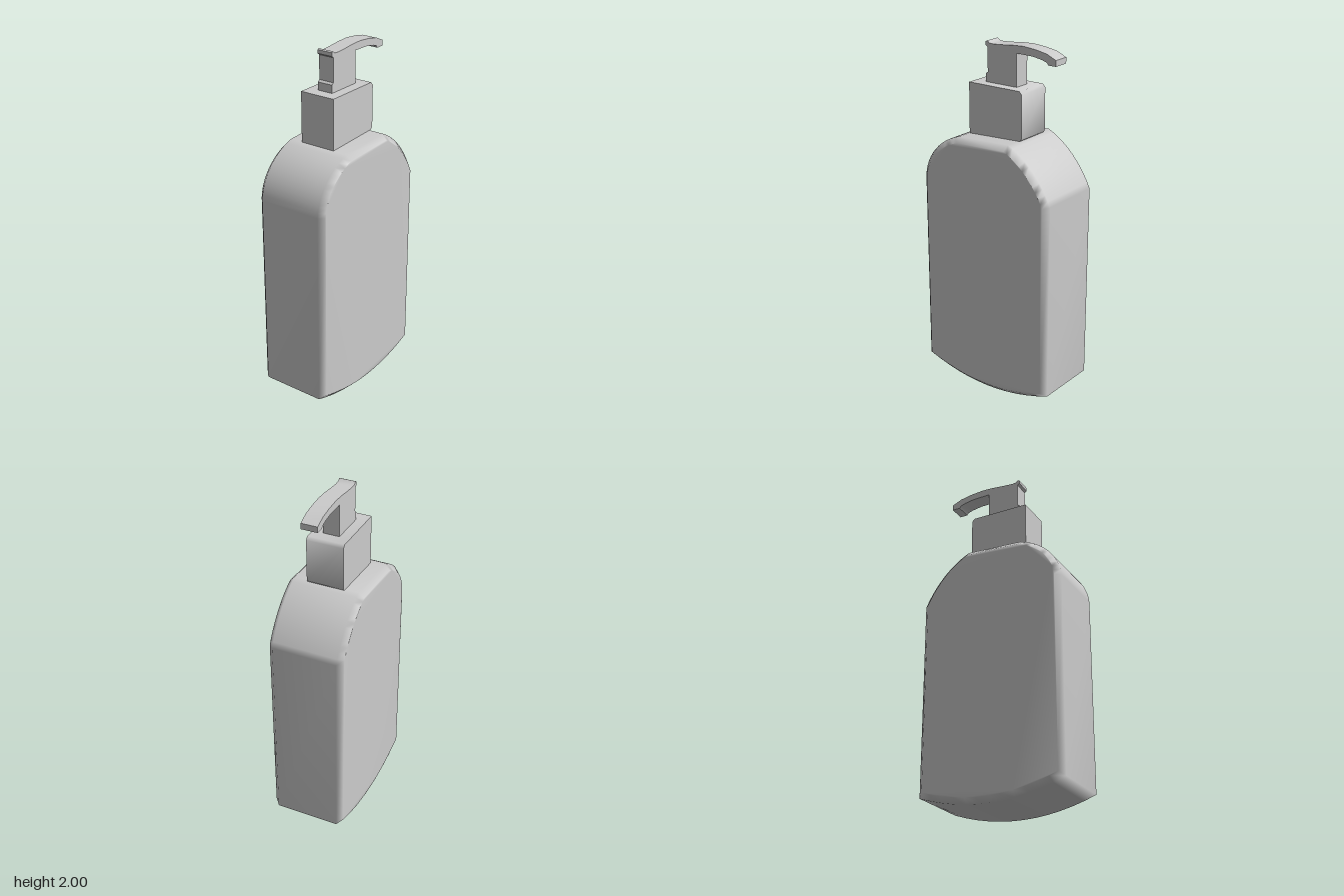
import * as THREE from 'three';
import { mergeVertices, toCreasedNormals } from 'three/addons/utils/BufferGeometryUtils.js';

const material = new THREE.MeshStandardMaterial({ color: 0xcccccc });

// Extrude an outline between two z planes, with an optional inward chamfer.
function slab(shape, zBack, zFront, chamfer = 0) {
  const geometry = new THREE.ExtrudeGeometry(shape, {
    depth: zFront - zBack - 2 * chamfer,
    bevelEnabled: chamfer > 0,
    bevelThickness: chamfer,
    bevelSize: chamfer,
    bevelOffset: -chamfer,
    bevelSegments: 1,
    curveSegments: 12,
  });
  geometry.translate(0, 0, zBack + chamfer);
  return geometry;
}

// Weld the vertices and shade the whole form smoothly.
function smooth(geometry) {
  geometry.deleteAttribute('normal');
  geometry.deleteAttribute('uv');
  const welded = mergeVertices(geometry, 1e-4);
  welded.computeVertexNormals();
  return welded;
}

function polygon(points) {
  return new THREE.Shape(points.map(([x, y]) => new THREE.Vector2(x, y)));
}

function addPart(group, name, geometry) {
  const mesh = new THREE.Mesh(geometry, material);
  mesh.name = name;
  group.add(mesh);
}

export function createModel() {
  const group = new THREE.Group();
  group.name = 'pumpBottle';

  // Bottle: bowed base, straight sides, one round and one flatter shoulder
  const outline = new THREE.Shape();
  outline.moveTo(-0.43, 0.085);
  outline.quadraticCurveTo(0, -0.075, 0.427, 0.085);
  outline.lineTo(0.427, 1.215);
  outline.bezierCurveTo(0.37, 1.34, 0.27, 1.45, 0.15, 1.503);
  outline.lineTo(-0.18, 1.488);
  outline.bezierCurveTo(-0.32, 1.45, -0.42, 1.34, -0.43, 1.215);
  outline.closePath();
  addPart(group, 'bottle', smooth(slab(outline, -0.217, 0.215, 0.03)));

  // Collar: square block with clipped corners on its left side
  const collar = polygon([
    [-0.178, 1.488], [0.163, 1.503], [0.175, 1.517],
    [0.175, 1.758], [0.16, 1.775], [-0.178, 1.775],
  ]);
  addPart(group, 'collar', toCreasedNormals(slab(collar, -0.112, 0.1), 0.9));

  // Pump head: stem and curved spout in one profile
  const head = polygon([
    [-0.11, 1.77], [0.097, 1.77], [0.097, 1.957], [0.2, 1.955], [0.26, 1.945],
    [0.29, 1.935], [0.3, 1.922], [0.347, 1.922], [0.347, 1.955], [0.29, 1.98],
    [0.22, 1.993], [0.14, 2], [0.07, 1.997], [0, 1.99], [-0.06, 1.986],
    [-0.085, 1.988], [-0.1, 2], [-0.11, 1.995], [-0.11, 1.975], [-0.097, 1.965],
    [-0.097, 1.83], [-0.11, 1.82],
  ]);
  addPart(group, 'pumpHead', toCreasedNormals(slab(head, -0.053, 0.04), 0.9));

  return group;
}
